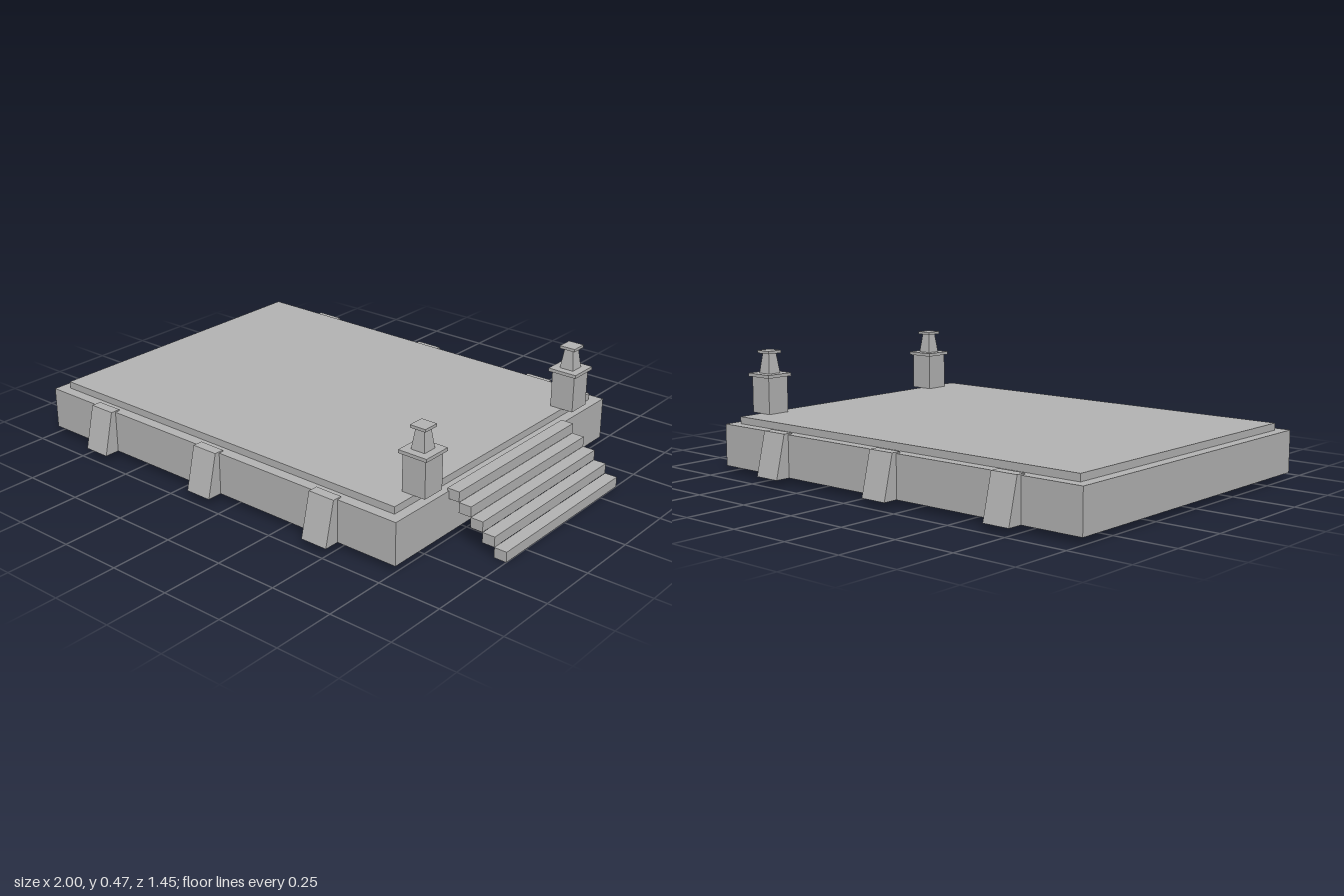
import * as THREE from 'three';

export function createModel() {
  const model = new THREE.Group();
  model.name = 'templePlatform';
  const stone = new THREE.MeshStandardMaterial({ color: 0xb4b4b4 });
  stone.name = 'grey stone';

  const add = (parent, name, geometry, x, y, z) => {
    const mesh = new THREE.Mesh(geometry, stone);
    mesh.name = name;
    mesh.position.set(x, y, z);
    parent.add(mesh);
    return mesh;
  };
  // Box given by its lower and upper limits
  const block = (parent, name, [x0, x1], [y0, y1], [z0, z1]) =>
    add(parent, name, new THREE.BoxGeometry(x1 - x0, y1 - y0, z1 - z0),
      (x0 + x1) / 2, (y0 + y1) / 2, (z0 + z1) / 2);

  // Platform and raised floor
  block(model, 'base', [-1, 0.752], [0.025, 0.192], [-0.665, 0.665]);
  block(model, 'floorSlab', [-0.957, 0.712], [0.192, 0.22], [-0.622, 0.622]);

  // Sloping buttresses along both long sides
  const profile = new THREE.Shape([
    [0.645, 0.025], [0.727, 0.025], [0.685, 0.197], [0.645, 0.197],
  ].map(([z, y]) => new THREE.Vector2(z, y)));
  const buttress = new THREE.ExtrudeGeometry(profile, { depth: 0.112, bevelEnabled: false });
  buttress.translate(0, 0, -0.056);
  for (const x of [-0.692, -0.126, 0.441]) {
    for (const side of [1, -1]) {
      add(model, 'buttress', buttress, x, 0, 0).rotation.y = -side * Math.PI / 2;
    }
  }

  // Five separate steps descending towards +x
  const stairs = new THREE.Group();
  stairs.name = 'stairs';
  model.add(stairs);
  for (let i = 0; i < 5; i++) {
    const x = 0.745 + i * 0.051;
    const y = 0.162 - i * 0.0405;
    block(stairs, 'step', [x, x + 0.051], [y, y + 0.04], [-0.368, 0.368]);
  }

  // Entrance posts: shaft, cap, tapered neck and finial plate
  const neck = new THREE.CylinderGeometry(0.037 / Math.SQRT2, 0.058 / Math.SQRT2, 0.081, 4)
    .toNonIndexed();
  neck.rotateY(Math.PI / 4);
  neck.computeVertexNormals();
  for (const z of [0.468, -0.468]) {
    const post = new THREE.Group();
    post.name = 'entrancePost';
    post.position.set(0.71, 0, z);
    model.add(post);
    const square = (name, w, y0, y1) =>
      block(post, name, [-w / 2, w / 2], [y0, y1], [-w / 2, w / 2]);
    square('postShaft', 0.098, 0.22, 0.366);
    square('postCap', 0.12, 0.366, 0.379);
    add(post, 'postNeck', neck, 0, 0.4195, 0);
    square('postFinial', 0.065, 0.459, 0.47);
  }
  return model;
}
